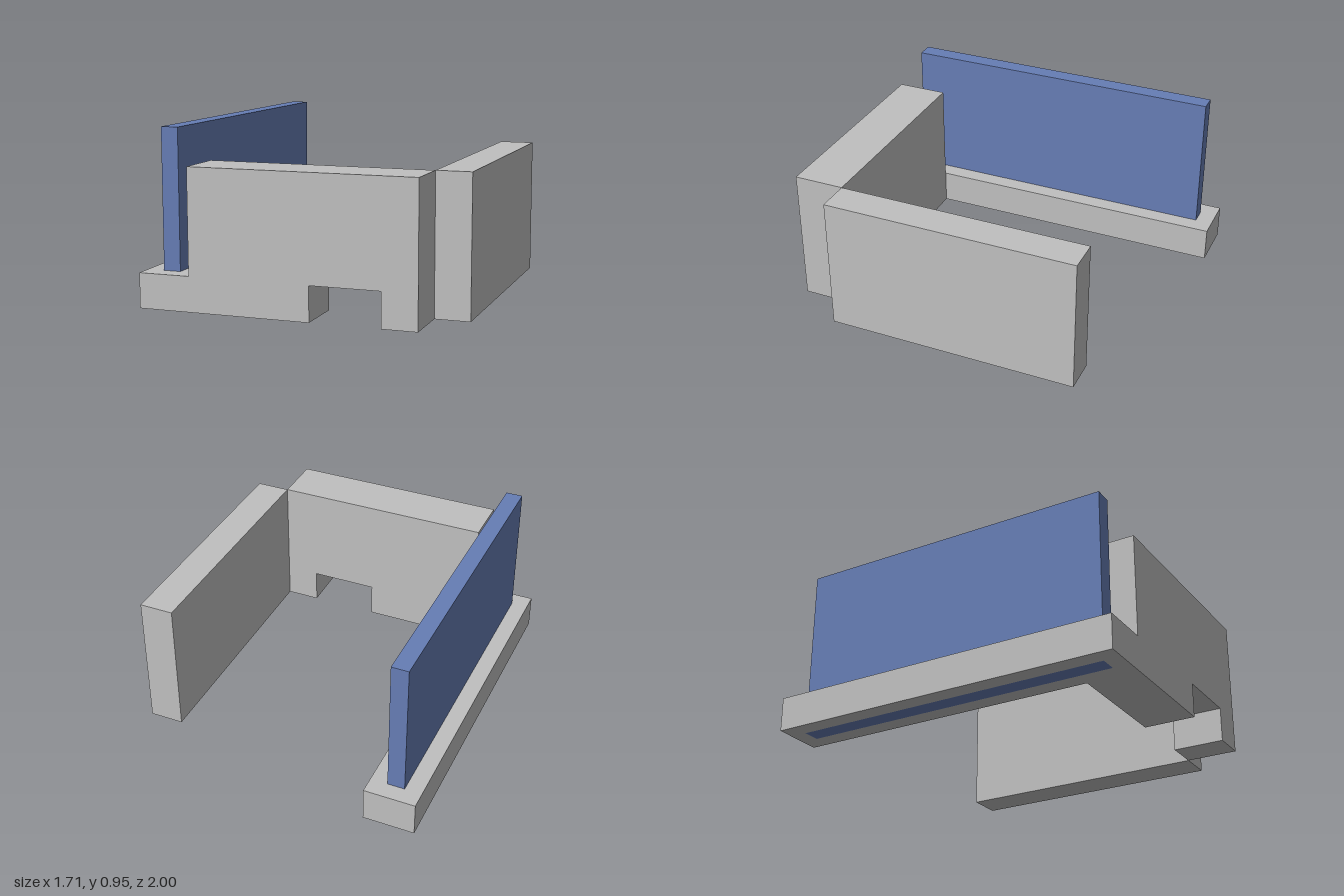
import * as THREE from 'three';

// One unit of the model's block grid
const U = 2 / 42;

const grey = new THREE.MeshStandardMaterial({ color: 0xc0c0c0 });
grey.name = 'light grey';
const blue = new THREE.MeshStandardMaterial({ color: 0x667db5 });
blue.name = 'slate blue';

const outline = (Type, points) =>
  new Type(points.map(([x, y]) => new THREE.Vector2(x * U, y * U)));

const extrude = (shape, depth) =>
  new THREE.ExtrudeGeometry(shape, { depth: depth * U, bevelEnabled: false });

// Box given by its min and max corners in grid units
function block([x0, y0, z0], [x1, y1, z1]) {
  return new THREE.BoxGeometry((x1 - x0) * U, (y1 - y0) * U, (z1 - z0) * U)
    .translate((x0 + x1) * U / 2, (y0 + y1) * U / 2, (z0 + z1) * U / 2);
}

export function createModel() {
  const group = new THREE.Group();
  const add = (name, geometry, material) => {
    const mesh = new THREE.Mesh(geometry, material);
    mesh.name = name;
    group.add(mesh);
  };

  // Low base rail with a slot that holds the panel
  const rail = outline(THREE.Shape, [[-18, -21], [-12, -21], [-12, 21], [-18, 21]]);
  rail.holes.push(outline(THREE.Path, [[-16, -19], [-16, 19], [-14, 19], [-14, -19]]));
  add('baseRail', extrude(rail, 4).rotateX(-Math.PI / 2), grey);

  // Upright panel, reaching through the rail to the ground
  add('panel', block([-16, 0, -19], [-14, 20, 19]), blue);

  // Front wall with a low opening
  const wall = outline(THREE.Shape, [
    [-12, 0], [2, 0], [2, 4], [10, 4], [10, 0], [14, 0], [14, 16], [-12, 16],
  ]);
  add('frontWall', extrude(wall, 6).translate(0, 0, 15 * U), grey);

  // Side wall, touching the front wall only at its corner
  add('sideWall', block([14, 0, -15], [18, 16, 15]), grey);

  return group;
}
